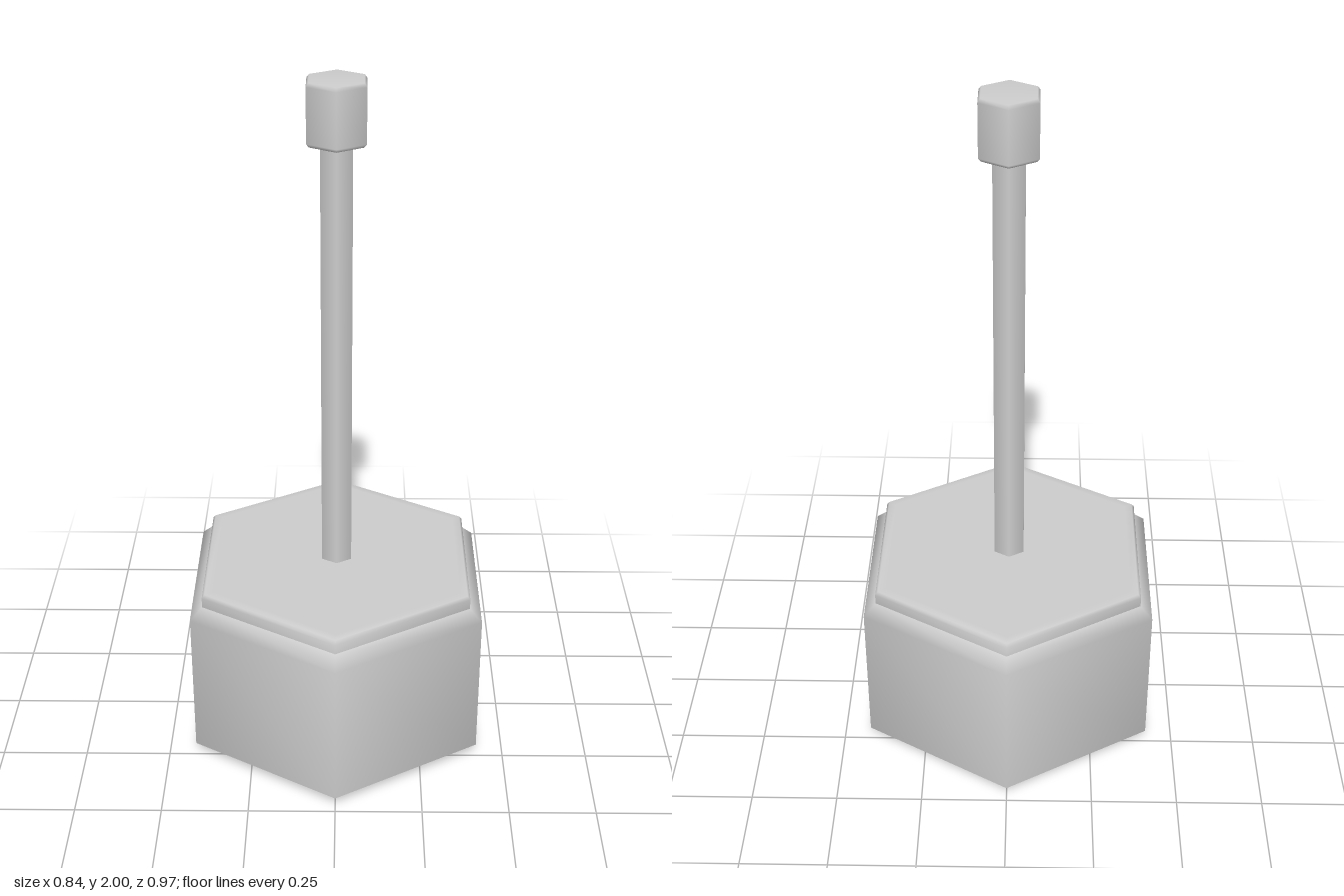
import * as THREE from 'three';

const material = new THREE.MeshStandardMaterial({ color: 0xcccccc });

// Six-sided solid with softly shaded bevels, from [radius, height] points listed bottom to top.
// A corner points along +z.
function hexSolid(name, profile) {
  const points = profile.map(([r, y]) => new THREE.Vector2(r, y));
  const mesh = new THREE.Mesh(new THREE.LatheGeometry(points, 6), material);
  mesh.name = name;
  return mesh;
}

export function createModel() {
  const model = new THREE.Group();
  model.name = 'plungerHandle';

  // Heavy base block, bevelled top and bottom
  model.add(hexSolid('base', [
    [0, 0], [0.41, 0], [0.445, 0], [0.485, 0.035],
    [0.485, 0.48], [0.445, 0.515], [0.41, 0.515], [0, 0.515],
  ]));

  // Thin lid plate on the base
  model.add(hexSolid('lid', [
    [0.445, 0.51], [0.445, 0.545], [0.436, 0.555], [0.41, 0.555], [0, 0.555],
  ]));

  // Upright rod
  model.add(hexSolid('rod', [[0.05, 0.54], [0.05, 1.84]]));

  // Grip knob at the top of the rod
  model.add(hexSolid('knob', [
    [0, 1.83], [0.083, 1.83], [0.091, 1.84],
    [0.091, 1.99], [0.083, 2], [0, 2],
  ]));

  return model;
}
